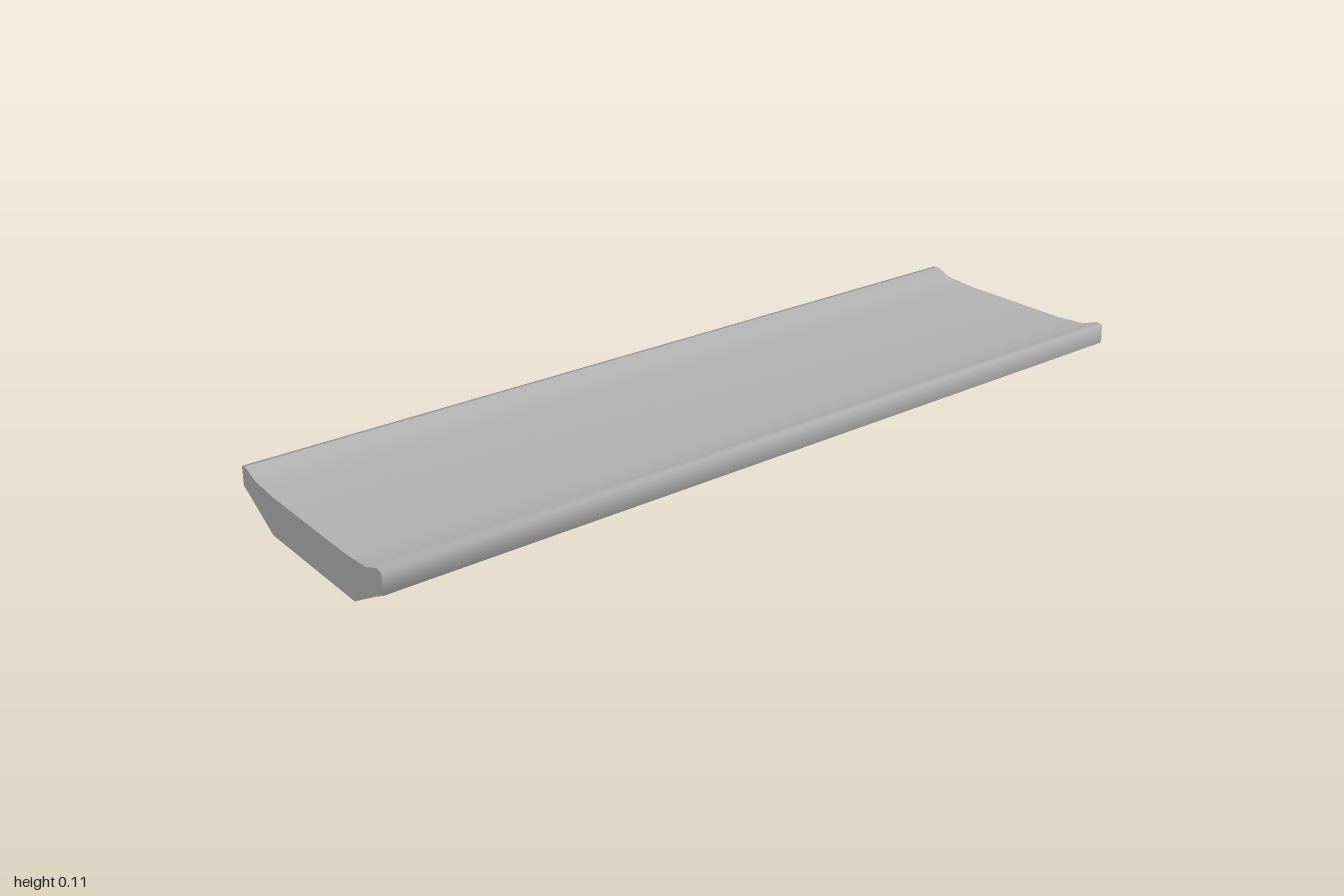
import * as THREE from 'three';

const HALF_LENGTH = 1;

// Right half of the cross-section, from the bottom corner up to the top plate
const half = [
  [0.17, 0], [0.26, 0.05], [0.29, 0.065], [0.288, 0.111],
  [0.272, 0.114], [0.23, 0.098], [0.15, 0.092],
];
const mirrored = half.map(([x, y]) => [-x, y]).reverse();
const outline = [...half, ...mirrored];

// Sweep a run of section points along z, smooth within the run
function sweep(points) {
  const positions = [];
  const index = [];
  points.forEach(([x, y], i) => {
    positions.push(x, y, HALF_LENGTH, x, y, -HALF_LENGTH);
    if (i < points.length - 1) {
      const a = i * 2;
      index.push(a, a + 1, a + 2, a + 2, a + 1, a + 3);
    }
  });
  const geometry = new THREE.BufferGeometry();
  geometry.setAttribute('position', new THREE.Float32BufferAttribute(positions, 3));
  geometry.setIndex(index);
  geometry.computeVertexNormals();
  return geometry;
}

export function createModel() {
  const group = new THREE.Group();
  group.name = 'channelSlab';
  const grey = new THREE.MeshStandardMaterial({ color: 0xb0b0b0 });
  grey.name = 'grey';

  const add = (name, geometry) => {
    const mesh = new THREE.Mesh(geometry, grey);
    mesh.name = name;
    group.add(mesh);
    return mesh;
  };

  // Flanks, raised lips and dished top in one smooth skin
  add('upperSkin', sweep(outline));

  // Flat underside with hard edges
  add('underside', sweep([mirrored[mirrored.length - 1], half[0]]));

  // Flat end faces
  const section = new THREE.Shape(outline.map(([x, y]) => new THREE.Vector2(x, y)));
  const cap = new THREE.ShapeGeometry(section);
  add('frontEnd', cap).position.z = HALF_LENGTH;
  const back = add('backEnd', cap);
  back.position.z = -HALF_LENGTH;
  back.rotation.y = Math.PI;

  return group;
}
